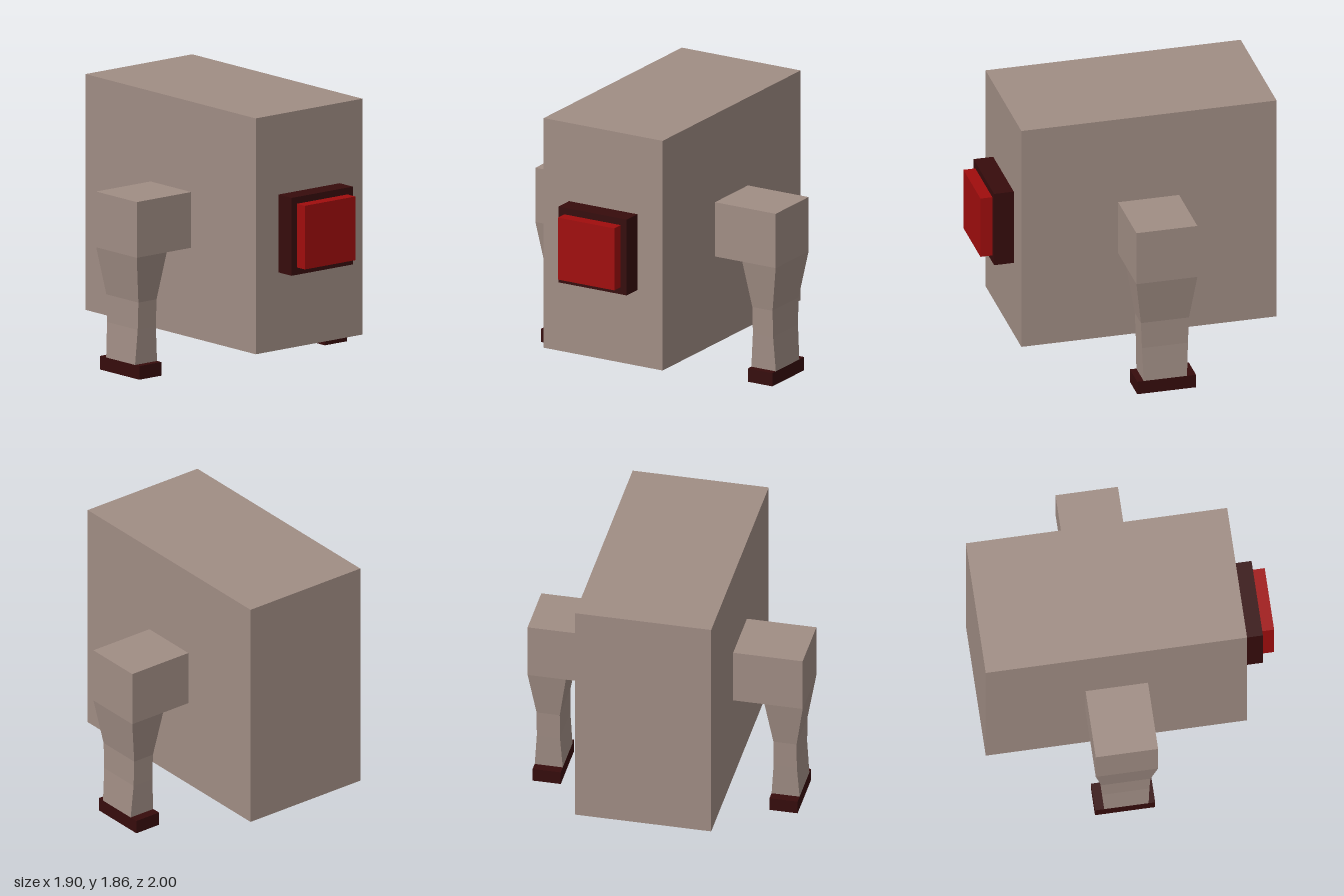
import * as THREE from 'three';

const flat = (name, color) => {
  const m = new THREE.MeshStandardMaterial({ color, flatShading: true });
  m.name = name;
  return m;
};

// Box given by its minimum and maximum on each axis
function box(name, material, [x0, x1], [y0, y1], [z0, z1]) {
  const mesh = new THREE.Mesh(new THREE.BoxGeometry(x1 - x0, y1 - y0, z1 - z0), material);
  mesh.position.set((x0 + x1) / 2, (y0 + y1) / 2, (z0 + z1) / 2);
  mesh.name = name;
  return mesh;
}

// Square tube through rectangular sections [y, halfWidth, zBack, zFront], bottom to top
function loft(sections) {
  const pos = [];
  const rings = sections.map(([y, w, zb, zf]) => [[-w, y, zf], [w, y, zf], [w, y, zb], [-w, y, zb]]);
  const quad = (a, b, c, d) => pos.push(...a, ...b, ...c, ...a, ...c, ...d);
  for (let i = 0; i < rings.length - 1; i++) {
    for (let k = 0; k < 4; k++) {
      const n = (k + 1) % 4;
      quad(rings[i][k], rings[i][n], rings[i + 1][n], rings[i + 1][k]);
    }
  }
  const [a, b, c, d] = rings[0];
  quad(d, c, b, a);
  quad(...rings[rings.length - 1]);
  const geo = new THREE.BufferGeometry();
  geo.setAttribute('position', new THREE.Float32BufferAttribute(pos, 3));
  geo.computeVertexNormals();
  return geo;
}

export function createModel() {
  const model = new THREE.Group();
  model.name = 'boxWalker';
  const skin = flat('greyBrown', 0xa08d84);
  const dark = flat('darkMaroon', 0x360c0c);
  const red = flat('red', 0xa00d0d);

  // Body and the stepped eye on its front
  model.add(
    box('body', skin, [-0.47, 0.47], [0.23, 1.86], [-1, 0.78]),
    box('eyeFrame', dark, [-0.27, 0.27], [0.767, 1.305], [0.78, 0.917]),
    box('eyeLens', red, [-0.223, 0.223], [0.818, 1.258], [0.917, 1]),
  );

  // Hip block, tapered leg and foot on each side
  const legGeometry = loft([
    [0.09, 0.097, -0.257, 0.045],
    [0.335, 0.08, -0.268, 0.053],
    [0.525, 0.08, -0.275, 0.06],
    [0.85, 0.132, -0.32, 0.105],
  ]);
  for (const [side, s] of [['left', 1], ['right', -1]]) {
    const limb = new THREE.Group();
    limb.name = side + 'Limb';
    limb.position.x = s * 0.818;
    const hip = box('hip', skin, [-0.24, 0.24], [0.85, 1.235], [-0.32, 0.105]);
    hip.position.x = -s * 0.108;
    const leg = new THREE.Mesh(legGeometry, skin);
    leg.name = 'leg';
    limb.add(hip, leg, box('foot', dark, [-0.097, 0.097], [0, 0.094], [-0.32, 0.09]));
    model.add(limb);
  }
  return model;
}
